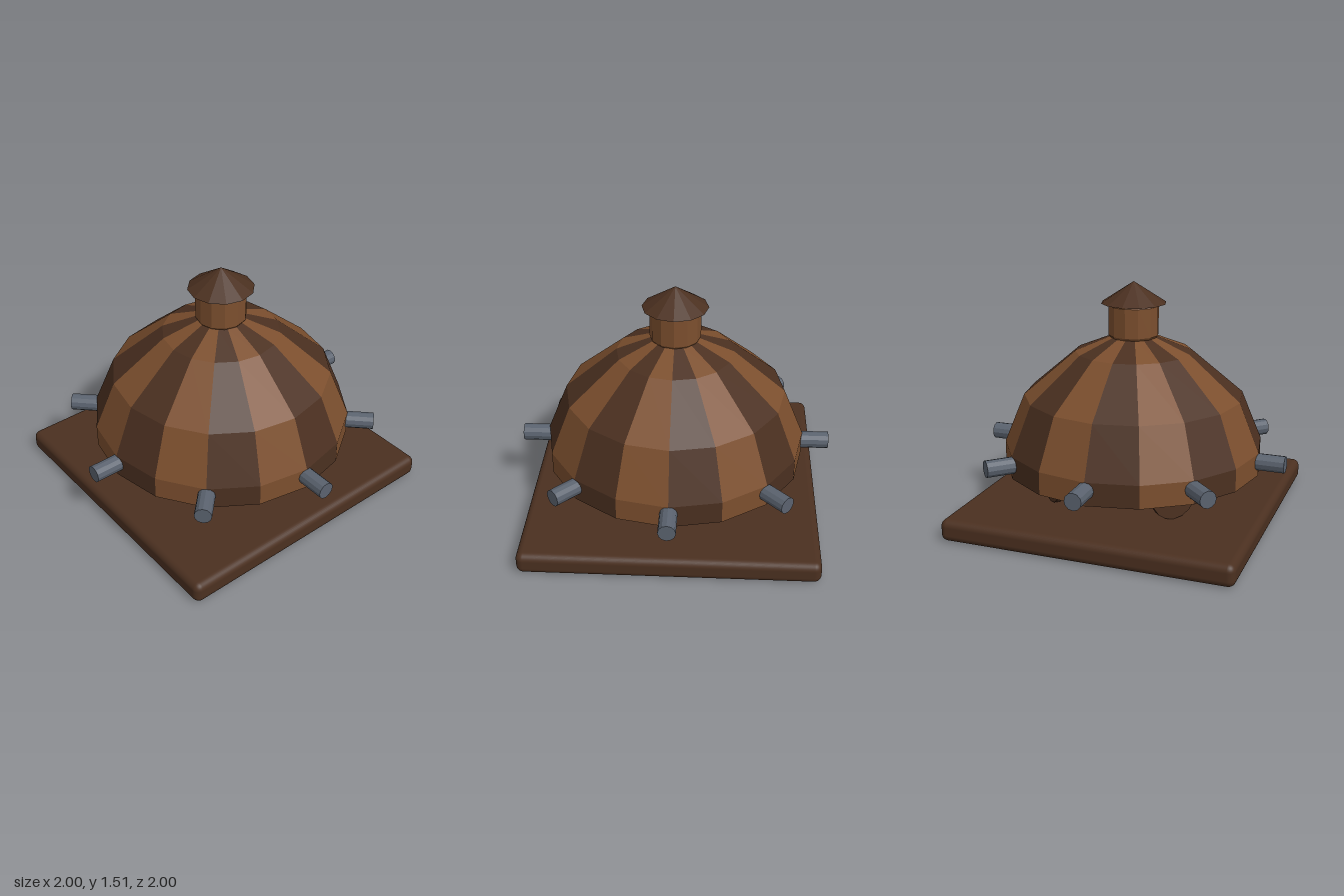
import * as THREE from 'three';
import { RoundedBoxGeometry } from 'three/addons/geometries/RoundedBoxGeometry.js';

const paint = (color, flatShading = true, side = THREE.FrontSide) =>
  new THREE.MeshStandardMaterial({ color, flatShading, side });

export function createModel() {
  const model = new THREE.Group();
  model.name = 'coveredWagon';

  const lightWood = paint(0x7c4f2e);
  const darkWood = paint(0x4b3020);
  const smoothDarkWood = paint(0x4b3020, false);
  const metal = paint(0x5a626e);
  const lightPlank = paint(0x7c4f2e, true, THREE.DoubleSide);
  const darkPlank = paint(0x4b3020, true, THREE.DoubleSide);

  const add = (parent, name, geometry, material, x = 0, y = 0, z = 0) => {
    const mesh = new THREE.Mesh(geometry, material);
    mesh.name = name;
    mesh.position.set(x, y, z);
    parent.add(mesh);
    return mesh;
  };
  const profile = (pairs) => pairs.map(([r, y]) => new THREE.Vector2(r, y));

  // Square base board with rounded edges
  add(model, 'baseBoard', new RoundedBoxGeometry(1.85, 0.14, 1.85, 4, 0.045), smoothDarkWood, 0, 0.07, 0);

  // Dome of sixteen planks in alternating wood, open underneath
  const dome = new THREE.Group();
  dome.name = 'dome';
  model.add(dome);
  const plankProfile = profile([[0.83, 0.33], [0.83, 0.475], [0.7, 0.79], [0.37, 1.07], [0.15, 1.16], [0, 1.16]]);
  const planks = 16;
  const step = (Math.PI * 2) / planks;
  for (let i = 0; i < planks; i++) {
    add(dome, 'plank', new THREE.LatheGeometry(plankProfile, 1, i * step, step), i % 2 ? lightPlank : darkPlank);
  }

  // Turret with bevelled rims
  const turretProfile = profile([[0, 1.155], [0.145, 1.155], [0.16, 1.175], [0.16, 1.36], [0.145, 1.38], [0, 1.38]]);
  add(model, 'turret', new THREE.LatheGeometry(turretProfile, 12), lightWood);

  // Conical turret roof
  add(model, 'turretRoof', new THREE.ConeGeometry(0.207, 0.135, 12), darkWood, 0, 1.4425, 0);

  // Ring of eight barrels pointing outwards
  const barrelGeometry = new THREE.CylinderGeometry(0.054, 0.054, 0.3, 12).rotateX(Math.PI / 2);
  for (let i = 0; i < 8; i++) {
    const a = (i * Math.PI) / 4;
    add(model, 'barrel', barrelGeometry, metal, Math.sin(a) * 0.85, 0.422, Math.cos(a) * 0.85).rotation.y = a;
  }

  // Four wheels on the diagonals, axles pointing outwards
  const wheelGeometry = new THREE.CylinderGeometry(0.145, 0.145, 0.04, 16).rotateX(Math.PI / 2);
  for (let i = 0; i < 4; i++) {
    const a = Math.PI / 4 + (i * Math.PI) / 2;
    add(model, 'wheel', wheelGeometry, darkWood, Math.sin(a) * 0.56, 0.285, Math.cos(a) * 0.56).rotation.y = a;
  }

  return model;
}
